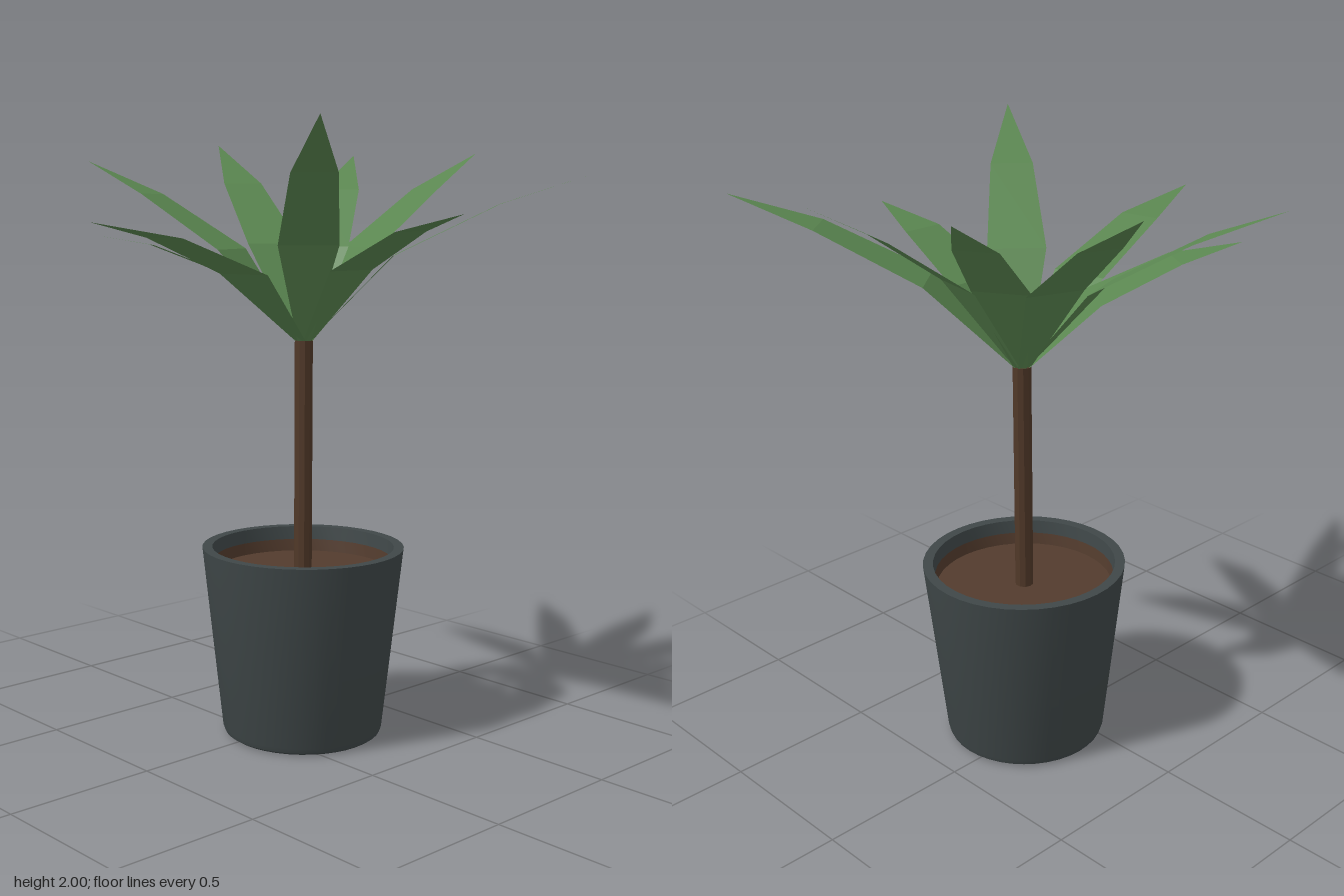
import * as THREE from 'three';
import { toCreasedNormals } from 'three/addons/utils/BufferGeometryUtils.js';

const CX = 0.13, CZ = 0.045; // plant axis
const CROWN = 1.32;          // height where the leaves start

function material(name, color, doubleSided) {
  const m = new THREE.MeshStandardMaterial({ color });
  m.name = name;
  if (doubleSided) m.side = THREE.DoubleSide;
  return m;
}

function lathe(points) {
  const profile = points.map(([r, y]) => new THREE.Vector2(r, y));
  return toCreasedNormals(new THREE.LatheGeometry(profile, 40), 0.6);
}

// Flat, bent leaf: narrow base, wide middle, pointed tip, relative to the crown
function leafGeometry(x, y, z) {
  const length = Math.hypot(x, z);
  const sx = z / length, sz = -x / length;
  const bend = 0.68 - y;
  const sections = [
    // distance, height, half width
    [0.02 / length, 0, 0.022],
    [0.32, (0.46 + 0.4 * bend) * y, 0.095],
    [0.69, (0.775 + 0.35 * bend) * y, 0.07],
  ];
  const v = [];
  for (const [t, h, w] of sections) {
    v.push(x * t + sx * w, h, z * t + sz * w);
    v.push(x * t - sx * w, h, z * t - sz * w);
  }
  v.push(x, y, z);
  const g = new THREE.BufferGeometry();
  g.setAttribute('position', new THREE.Float32BufferAttribute(v, 3));
  g.setIndex([0, 1, 2, 1, 3, 2, 2, 3, 4, 3, 5, 4, 4, 5, 6]);
  const flat = g.toNonIndexed();
  flat.computeVertexNormals();
  return flat;
}

export function createModel() {
  const potGrey = material('potGrey', 0x3f4748);
  const soilBrown = material('soilBrown', 0x523b2d);
  const barkBrown = material('barkBrown', 0x503828);
  const leafGreen = material('leafGreen', 0x5a8650, true);

  const model = new THREE.Group();
  model.name = 'pottedPlant';
  const add = (name, geometry, mat, y = 0) => {
    const mesh = new THREE.Mesh(geometry, mat);
    mesh.name = name;
    mesh.position.set(CX, y, CZ);
    model.add(mesh);
  };

  // Tapered pot with a bevelled foot and an open rim
  add('pot', lathe([
    [0, 0], [0.25, 0], [0.262, 0.008], [0.268, 0.025],
    [0.335, 0.635], [0.302, 0.635], [0.297, 0.59],
  ]), potGrey);

  // Soil, slightly sunken
  add('soil', lathe([[0.297, 0.59], [0.292, 0.55], [0, 0.55]]), soilBrown);

  // Trunk
  const trunk = new THREE.CylinderGeometry(0.03, 0.03, CROWN - 0.54, 10);
  add('trunk', toCreasedNormals(trunk, 0.3), barkBrown, (CROWN + 0.54) / 2);

  // Leaf tips
  const tips = [
    [-0.155, 1.905, -0.74],
    [0.4, 1.97, -0.697],
    [0.68, 1.93, -0.277],
    [0.83, 1.93, 0.165],
    [0.71, 1.85, 0.735],
    [0.13, 1.73, 0.715],
    [-0.355, 2.0, 0.615],
    [-0.83, 1.71, 0.21],
    [-0.49, 1.67, -0.318],
  ];
  tips.forEach(([x, y, z], i) => {
    add('leaf' + (i + 1), leafGeometry(x - CX, y - CROWN, z - CZ), leafGreen, CROWN);
  });

  return model;
}
